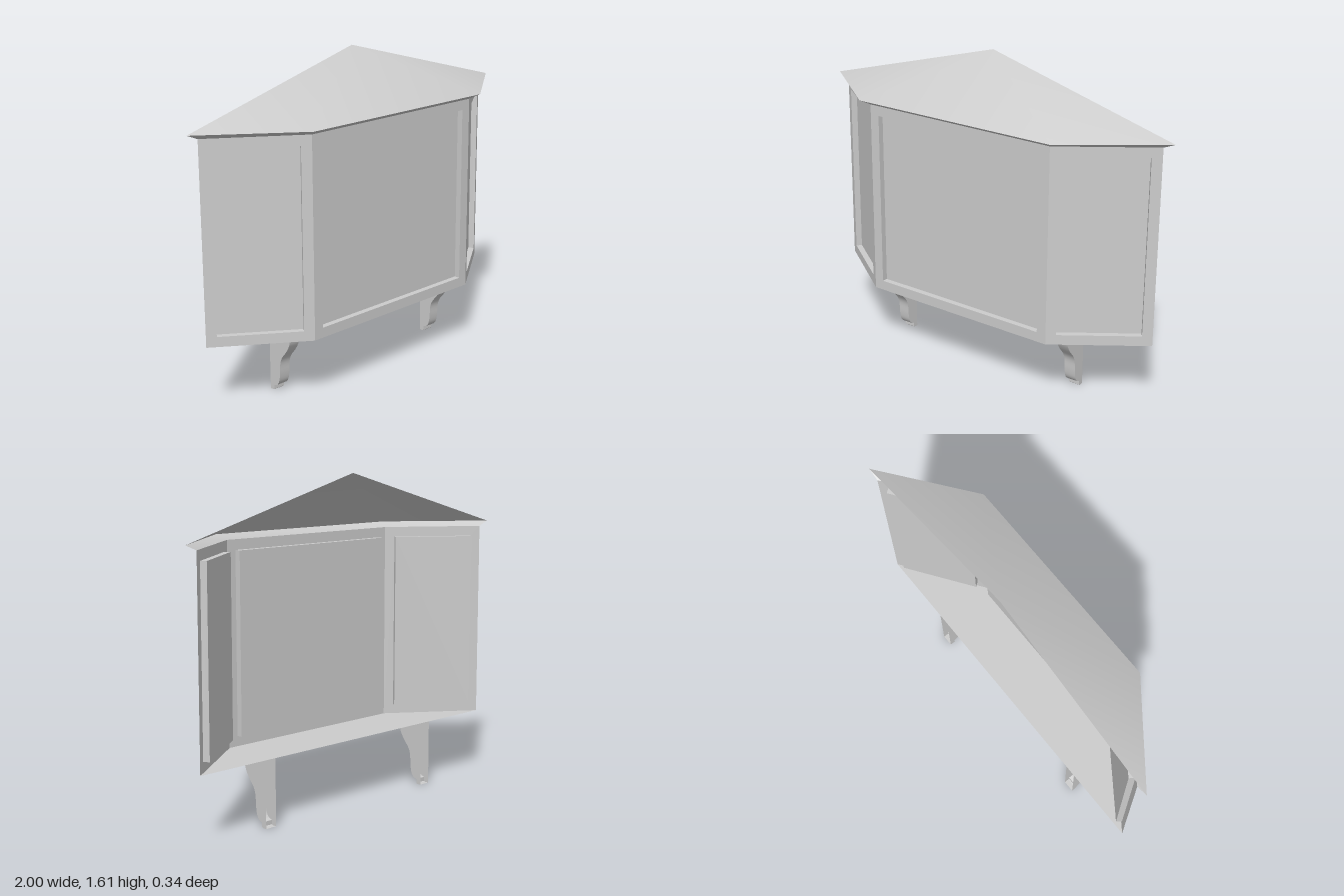
import * as THREE from 'three';
import { toCreasedNormals } from 'three/addons/utils/BufferGeometryUtils.js';

const material = new THREE.MeshStandardMaterial({ color: 0xcccccc, side: THREE.DoubleSide });

const BACK = -0.168, FRONT = 0.123, BOTTOM = 0.325, TOP = 1.31, EAVE = 1.335;

// Plan outlines, open along the back: [x, z] from the right end to the left end
const wallPlan = [[-0.94, BACK], [-0.53, FRONT], [0.53, FRONT], [0.94, BACK]];
const eavePlan = [[-1, BACK], [-0.56, 0.168], [0.56, 0.168], [1, BACK]];

function mesh(name, geometry) {
  const m = new THREE.Mesh(geometry, material);
  m.name = name;
  return m;
}

// Band of quads between two equally long rows of points, lower row first
function band(lower, upper, crease = 0.5) {
  const n = lower.length, index = [];
  for (let i = 0; i < n - 1; i++) index.push(i, i + 1, n + i + 1, i, n + i + 1, n + i);
  const g = new THREE.BufferGeometry();
  g.setAttribute('position', new THREE.Float32BufferAttribute([...lower, ...upper].flat(), 3));
  g.setIndex(index);
  return toCreasedNormals(g, crease);
}

function rectangle(path, w, h) {
  path.moveTo(-w / 2, -h / 2).lineTo(w / 2, -h / 2).lineTo(w / 2, h / 2).lineTo(-w / 2, h / 2);
  path.closePath();
  return path;
}

// Thin wall with a raised frame and a recessed pane; local +z points outward
function windowWall(name, a, b) {
  const dx = b[0] - a[0], dz = b[1] - a[1];
  const w = Math.hypot(dx, dz), h = TOP - BOTTOM, border = 0.05, depth = 0.03;
  const pw = w - 2 * border, ph = h - 2 * border;
  const wall = new THREE.Group();
  wall.name = name;

  const frame = rectangle(new THREE.Shape(), w, h);
  frame.holes.push(rectangle(new THREE.Path(), pw, ph));
  wall.add(mesh('windowFrame', new THREE.ShapeGeometry(frame)));

  const ring = z => [[-1, -1], [1, -1], [1, 1], [-1, 1], [-1, -1]].map(([x, y]) => [x * pw / 2, y * ph / 2, z]);
  wall.add(mesh('windowReveal', band(ring(0), ring(-depth))));

  const pane = mesh('windowPane', new THREE.PlaneGeometry(pw, ph));
  pane.position.z = -depth;
  wall.add(pane);

  wall.position.set((a[0] + b[0]) / 2, (TOP + BOTTOM) / 2, (a[1] + b[1]) / 2);
  wall.rotation.y = Math.atan2(-dz, dx);
  return wall;
}

// Scrolled support bracket, hollow and open at the back
function bracket(name, x) {
  const half = 0.03;
  const scroll = new THREE.SplineCurve([
    [-0.02, 0.295], [-0.027, 0.262], [-0.05, 0.222], [-0.08, 0.185], [-0.094, 0.15],
    [-0.098, 0.095], [-0.105, 0.055], [-0.12, 0.032], [-0.14, 0.025],
  ].map(p => new THREE.Vector2(...p))).getPoints(28).map(p => [p.x, p.y]);
  const profile = [[0, BOTTOM], [0, 0.295], ...scroll, [-0.14, 0.004], [-0.145, 0], [BACK, 0]];

  const group = new THREE.Group();
  group.name = name;
  const row = px => profile.map(([z, y]) => [px, y, z]);
  group.add(mesh('bracketFront', band(row(-half), row(half))));

  const outline = new THREE.Shape([...profile, [BACK, BOTTOM]].map(([z, y]) => new THREE.Vector2(-z, y)));
  for (const s of [-1, 1]) {
    const cheek = mesh('bracketSide', new THREE.ShapeGeometry(outline));
    cheek.rotation.y = Math.PI / 2;
    cheek.position.x = s * half;
    group.add(cheek);
  }
  group.position.x = x;
  return group;
}

export function createModel() {
  const model = new THREE.Group();
  model.name = 'bayWindow';

  // Three walls
  ['rightWall', 'frontWall', 'leftWall'].forEach((name, i) =>
    model.add(windowWall(name, wallPlan[i], wallPlan[i + 1])));

  // Floor
  const floor = mesh('floor', new THREE.ShapeGeometry(
    new THREE.Shape(wallPlan.map(([x, z]) => new THREE.Vector2(x, -z)))));
  floor.rotation.x = Math.PI / 2;
  floor.scale.y = -1;
  floor.rotation.x = -Math.PI / 2;
  floor.scale.y = 1;
  floor.position.y = BOTTOM;
  model.add(floor);

  // Sloping soffit from the wall tops out to the eaves
  model.add(mesh('eaveSoffit', band(
    wallPlan.map(([x, z]) => [x, TOP, z]), eavePlan.map(([x, z]) => [x, EAVE, z]))));

  // Hipped roof rising to a point at the back, softly shaded over the hips
  const roof = new THREE.BufferGeometry();
  roof.setAttribute('position', new THREE.Float32BufferAttribute(
    [...eavePlan.map(([x, z]) => [x, EAVE, z]), [0, 1.61, BACK]].flat(), 3));
  roof.setIndex([0, 1, 4, 1, 2, 4, 2, 3, 4]);
  roof.computeVertexNormals();
  model.add(mesh('roof', roof));

  // Pair of brackets
  model.add(bracket('rightBracket', -0.53), bracket('leftBracket', 0.53));
  return model;
}
